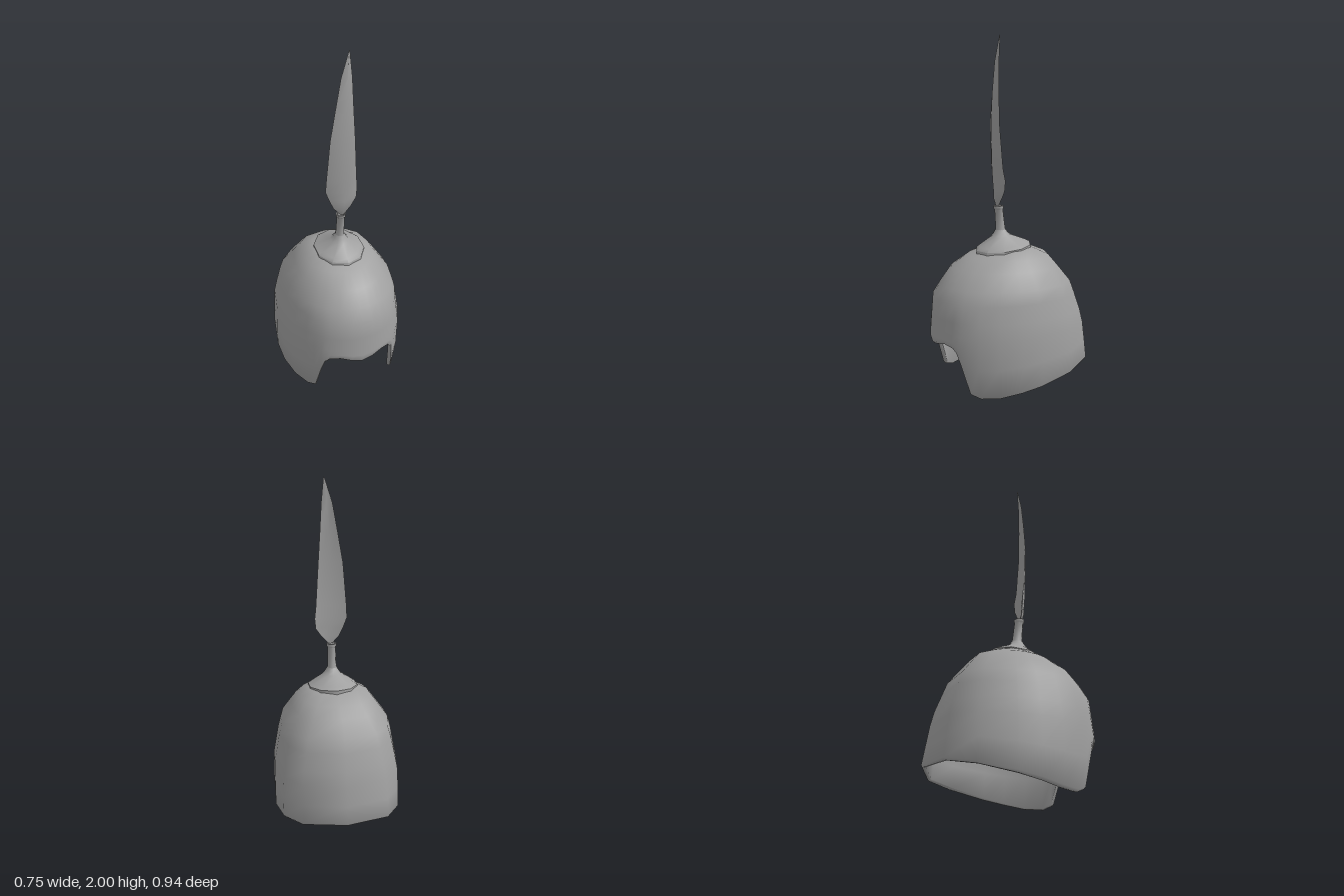
import * as THREE from 'three';
import { toCreasedNormals } from 'three/addons/utils/BufferGeometryUtils.js';

// Skin closed rings of points, listed so that the outside is on the right
function loft(rings, crease) {
  const n = rings[0].length;
  const index = [];
  for (let i = 0; i < rings.length - 1; i++) {
    for (let j = 0; j < n; j++) {
      const k = (j + 1) % n;
      const a = i * n + j, b = i * n + k, c = (i + 1) * n + k, d = (i + 1) * n + j;
      index.push(a, b, c, a, c, d);
    }
  }
  const geometry = new THREE.BufferGeometry();
  geometry.setAttribute('position', new THREE.Float32BufferAttribute(rings.flat(2), 3));
  geometry.setIndex(index);
  return toCreasedNormals(geometry, crease);
}

// Piecewise linear lookup in [key, value] pairs
function lookup(table, y) {
  if (y <= table[0][0]) return table[0][1];
  for (let i = 1; i < table.length; i++) {
    const [y0, v0] = table[i - 1], [y1, v1] = table[i];
    if (y <= y1) return v0 + (v1 - v0) * (y - y0) / (y1 - y0);
  }
  return table[table.length - 1][1];
}

// Dome radii by height: forward, backward and sideways
const FRONT = [[0, 0.425], [0.28, 0.47], [0.54, 0.45], [0.70, 0.34], [0.78, 0.20], [0.83, 0.002]];
const BACK = [[0, 0.475], [0.14, 0.475], [0.41, 0.43], [0.62, 0.35], [0.76, 0.23], [0.81, 0.11], [0.83, 0.002]];
const SIDE = [[0, 0.355], [0.06, 0.375], [0.35, 0.372], [0.60, 0.325], [0.76, 0.21], [0.80, 0.145], [0.83, 0.002]];

// Lower edge: [angle from the front in degrees, height]
const RIM = [[0, 0.27], [8, 0.285], [16, 0.302], [24, 0.292], [28, 0.26], [31, 0.19], [37, 0.025],
  [45, 0.003], [61, 0.01], [80, 0.035], [99, 0.06], [127, 0.10], [148, 0.126], [180, 0.14]];

function domePoint(angle, y, inset, drop = 0) {
  const phi = THREE.MathUtils.degToRad(angle);
  const s = Math.sin(phi), c = Math.cos(phi);
  const rx = Math.max(0.001, lookup(SIDE, y) - inset);
  const rz = Math.max(0.001, lookup(c > 0 ? FRONT : BACK, y) - inset);
  const p = c > 0 ? 2.1 : 2.6;
  const r = (Math.abs(s / rx) ** p + Math.abs(c / rz) ** p) ** (-1 / p);
  return [r * s + 0.01 * y, y - drop, r * c];
}

function domeGeometry() {
  const columns = [...RIM, ...RIM.slice(1, -1).reverse().map(([a, y]) => [360 - a, y])];
  const levels = [0.36, 0.44, 0.54, 0.61, 0.70, 0.76, 0.80, 0.83];
  const ring = (height, inset, drop) =>
    columns.map(([a, rim]) => domePoint(a, height(rim), inset, drop));
  const rings = [
    // lining, from the crown down
    ...[...levels].reverse().map((y) => ring(() => y, 0.025, 0.025 * y)),
    ring((rim) => (rim + 0.36) / 2, 0.025),
    // rounded rim
    ring((rim) => rim + 0.008, 0.025),
    ring((rim) => rim, 0.018),
    ring((rim) => rim, 0.008),
    ring((rim) => rim + 0.012, 0),
    // outside, going up
    ring((rim) => (rim + 0.36) / 2, 0),
    ...levels.map((y) => ring(() => y, 0)),
  ];
  return loft(rings, 1.0);
}

// Rings given as [x, y, z, radius x, radius z, rise towards the back]
function stackGeometry(rows, sides, crease) {
  return loft(rows.map(([x, y, z, rx, rz, tilt = 0]) =>
    Array.from({ length: sides }, (_, i) => {
      const a = (i / sides) * Math.PI * 2;
      return [x + rx * Math.sin(a), y - tilt * Math.cos(a), z + rz * Math.cos(a)];
    })), crease);
}

// Plume sections: [y, left x, right x, edge z, ridge z, hollow z]
function plumeGeometry() {
  const rows = [
    [1.045, 0.005, 0.028, 0.068, 0.078, 0.062],
    [1.09, -0.035, 0.07, 0.065, 0.092, 0.072],
    [1.14, -0.058, 0.104, 0.06, 0.096, 0.076],
    [1.20, -0.08, 0.11, 0.057, 0.098, 0.08],
    [1.27, -0.079, 0.101, 0.068, 0.1, 0.086],
    [1.52, -0.06, 0.084, 0.082, 0.105, 0.094],
    [1.70, -0.028, 0.073, 0.08, 0.1, 0.09],
    [1.86, 0.002, 0.065, 0.076, 0.09, 0.082],
    [2.0, 0.049, 0.053, 0.066, 0.068, 0.064],
  ];
  return loft(rows.map(([y, l, r, edge, ridge, hollow]) => {
    const m = (l + r) / 2;
    return [[l, y, edge], [m, y, ridge], [r, y, edge], [m, y, hollow]];
  }), 1.2);
}

export function createModel() {
  const steel = new THREE.MeshStandardMaterial({ color: 0xa0a0a0 });
  steel.name = 'grey steel';
  const group = new THREE.Group();
  group.name = 'plumedHelmet';
  const add = (name, geometry) => {
    const mesh = new THREE.Mesh(geometry, steel);
    mesh.name = name;
    group.add(mesh);
  };

  add('helmetShell', domeGeometry());

  // Crown plate sweeping up into the plume holder
  add('crownPlate', stackGeometry([
    [0.01, 0.77, 0.03, 0.15, 0.17, 0.015],
    [0.01, 0.805, 0.03, 0.148, 0.167, 0.015],
    [0.01, 0.82, 0.032, 0.125, 0.145, 0.013],
    [0.01, 0.865, 0.043, 0.055, 0.065, 0.004],
    [0.01, 0.885, 0.046, 0.04, 0.045],
    [0.01, 0.905, 0.047, 0.028, 0.034],
  ], 10, 0.9));

  // Hollow socket
  add('plumeSocket', stackGeometry([
    [0.01, 0.88, 0.045, 0.034, 0.038],
    [0.01, 0.91, 0.047, 0.026, 0.03],
    [0.011, 1.025, 0.058, 0.024, 0.026],
    [0.011, 1.033, 0.06, 0.03, 0.031],
    [0.011, 1.047, 0.061, 0.03, 0.031],
    [0.011, 1.047, 0.061, 0.022, 0.023],
    [0.011, 1.0, 0.056, 0.018, 0.018],
    [0.011, 1.0, 0.056, 0.001, 0.001],
  ], 8, 0.9));

  add('plume', plumeGeometry());
  return group;
}
